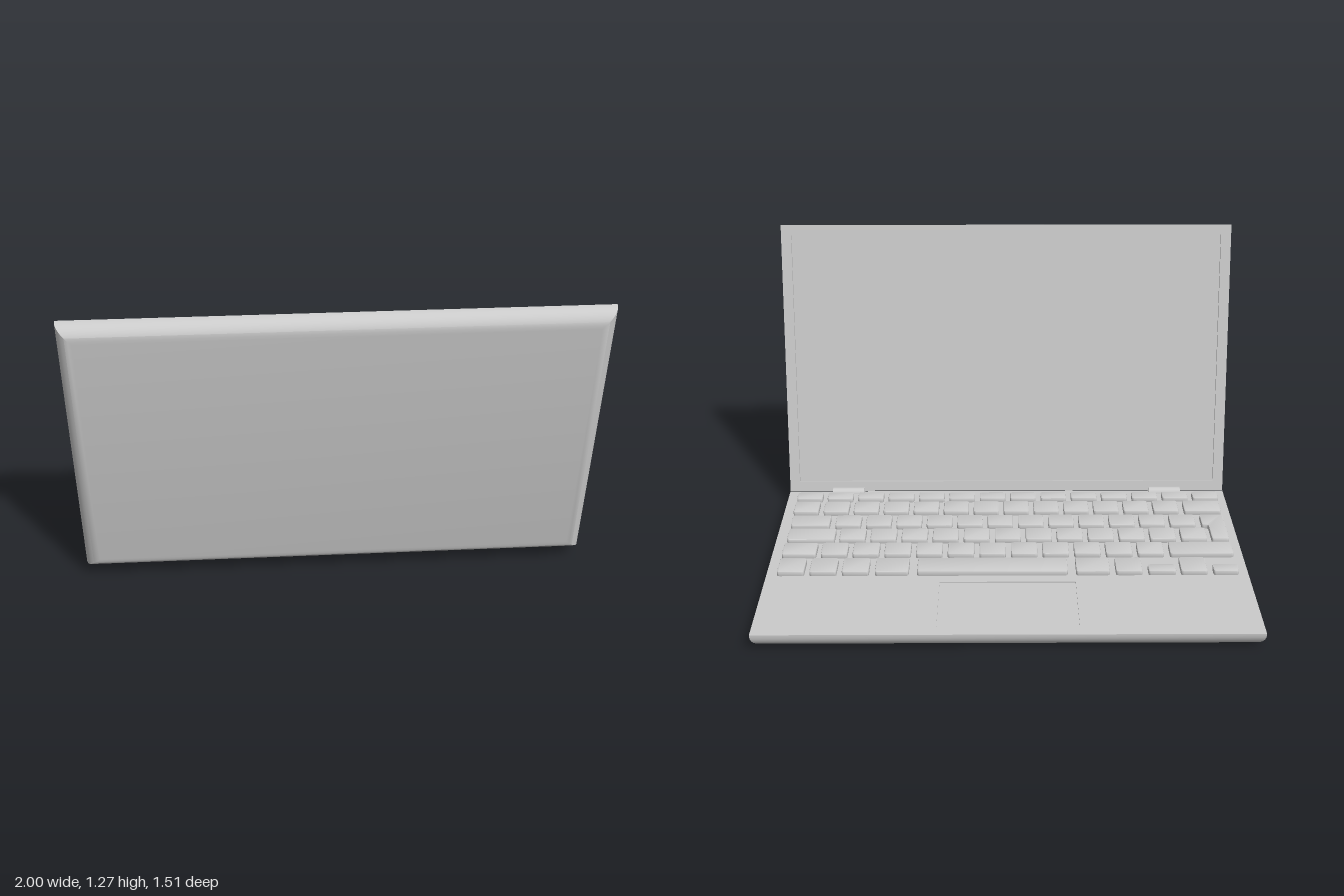
import * as THREE from 'three';
import { toCreasedNormals } from 'three/addons/utils/BufferGeometryUtils.js';

const DECK = 0.065;   // top of the base
const HINGE_Z = 0.49;
const material = new THREE.MeshStandardMaterial({ color: 0xcccccc });

function part(name, geometry, parent) {
  const mesh = new THREE.Mesh(geometry, material);
  mesh.name = name;
  parent.add(mesh);
  return mesh;
}

// Skins a stack of rectangles [x0, x1, z0, z1, y], capped at both ends.
function loftRectangles(rings) {
  const points = [];
  const corners = rings.map(([x0, x1, z0, z1, y]) =>
    [[x0, y, z0], [x1, y, z0], [x1, y, z1], [x0, y, z1]]);
  const tri = (a, b, c) => points.push(...a, ...b, ...c);
  for (let r = 0; r < corners.length - 1; r++) {
    for (let i = 0; i < 4; i++) {
      const j = (i + 1) % 4;
      const a = corners[r][i], b = corners[r][j];
      const A = corners[r + 1][i], B = corners[r + 1][j];
      tri(b, a, A);
      tri(b, A, B);
    }
  }
  const first = corners[0], last = corners[corners.length - 1];
  tri(first[0], first[1], first[2]);
  tri(first[0], first[2], first[3]);
  tri(last[0], last[2], last[1]);
  tri(last[0], last[3], last[2]);
  const geometry = new THREE.BufferGeometry();
  geometry.setAttribute('position', new THREE.Float32BufferAttribute(points, 3));
  return toCreasedNormals(geometry, 0.6);
}

// Slab with a rounded underside and a rectangular recess in its flat top.
function slab(z0, z1, top, recess, depth) {
  const rings = [], round = 0.06, steps = 7;
  for (let i = 0; i <= steps; i++) {
    const t = (i / steps) * Math.PI / 2;
    const inset = round * (1 - Math.sin(t));
    rings.push([-1 + inset, 1 - inset, z0 + inset, z1 - inset, top - 0.005 - round * Math.cos(t)]);
  }
  rings.push([-1, 1, z0, z1, top], [...recess, top], [...recess, top - depth]);
  return loftRectangles(rings);
}

// Key cap from a plan outline, with rounded corners and a softened rim.
function keyCap(outline) {
  const shape = new THREE.Shape();
  const n = outline.length, r = 0.012;
  outline.forEach((p, i) => {
    const corner = new THREE.Vector2(...p);
    const toward = (q) => new THREE.Vector2(...q).sub(corner).setLength(r).add(corner);
    const a = toward(outline[(i + n - 1) % n]), b = toward(outline[(i + 1) % n]);
    if (i === 0) shape.moveTo(a.x, a.y);
    else shape.lineTo(a.x, a.y);
    shape.quadraticCurveTo(corner.x, corner.y, b.x, b.y);
  });
  shape.closePath();
  const geometry = new THREE.ExtrudeGeometry(shape, {
    depth: 0.018, bevelThickness: 0.004, bevelSize: 0.004, bevelOffset: -0.004,
    bevelSegments: 2, curveSegments: 4,
  });
  geometry.rotateX(Math.PI / 2);
  geometry.translate(0, DECK + 0.016, 0);
  return toCreasedNormals(geometry, 0.6);
}

const rectangle = (x0, x1, z0, z1) => [[x0, z0], [x1, z0], [x1, z1], [x0, z1]];

// Each row: z range, then runs of [key count, first edge, last edge].
const KEY_ROWS = [
  [-0.30, -0.18, [[1, -0.83, -0.72], [1, -0.56, -0.45], [1, -0.425, -0.285],
    [1, -0.25, 0.375], [1, 0.41, 0.55], [3, 0.575, 0.955]]],
  [-0.30, -0.24, [[1, -0.96, -0.855], [1, -0.70, -0.585]]],
  [-0.15, -0.045, [[1, -0.96, -0.69], [11, -0.665, 0.79], [1, 0.81, 0.955]]],
  [-0.02, 0.085, [[12, -0.865, 0.725], [1, 0.745, 0.95]]],
  [0.11, 0.21, [[12, -0.83, 0.755], [1, 0.78, 0.95]]],
  [0.24, 0.345, [[1, -0.96, -0.795], [13, -0.77, 0.955]]],
  [0.37, 0.435, [[14, -0.965, 0.955]]],
];

function buildKeyboard() {
  const keyboard = new THREE.Group();
  keyboard.name = 'keyboard';
  const gap = 0.022;
  for (const [z0, z1, runs] of KEY_ROWS) {
    for (const [count, x0, x1] of runs) {
      const pitch = (x1 - x0 + gap) / count;
      for (let i = 0; i < count; i++) {
        const x = x0 + i * pitch;
        part('key', keyCap(rectangle(x, x + pitch - gap, z0, z1)), keyboard);
      }
    }
  }
  // L-shaped key spanning two rows
  part('enterKey', keyCap([[-0.96, -0.02], [-0.885, -0.02], [-0.885, 0.11],
    [-0.857, 0.11], [-0.857, 0.21], [-0.96, 0.21]]), keyboard);
  return keyboard;
}

export function createModel() {
  const model = new THREE.Group();
  model.name = 'laptop';

  // Base with the sunken touchpad
  part('base', slab(-0.755, 0.485, DECK, [-0.28, 0.28, -0.70, -0.35], 0.006), model);
  model.add(buildKeyboard());

  // Lid with the sunken screen, hinged at the base edge and leaning back
  const length = 1.228, rim = 0.045;
  const lid = part('lid', slab(0, length, 0, [-1 + rim, 1 - rim, rim, length - rim], 0.012), model);
  lid.position.set(0, DECK, HINGE_Z);
  lid.rotation.x = -1.399;

  // Hinge barrels
  for (const side of [-1, 1]) {
    const barrel = new THREE.CylinderGeometry(0.025, 0.025, 0.145, 20).rotateZ(Math.PI / 2);
    part(side > 0 ? 'leftHinge' : 'rightHinge', barrel, model)
      .position.set(side * 0.728, 0.06, 0.48);
  }
  return model;
}
